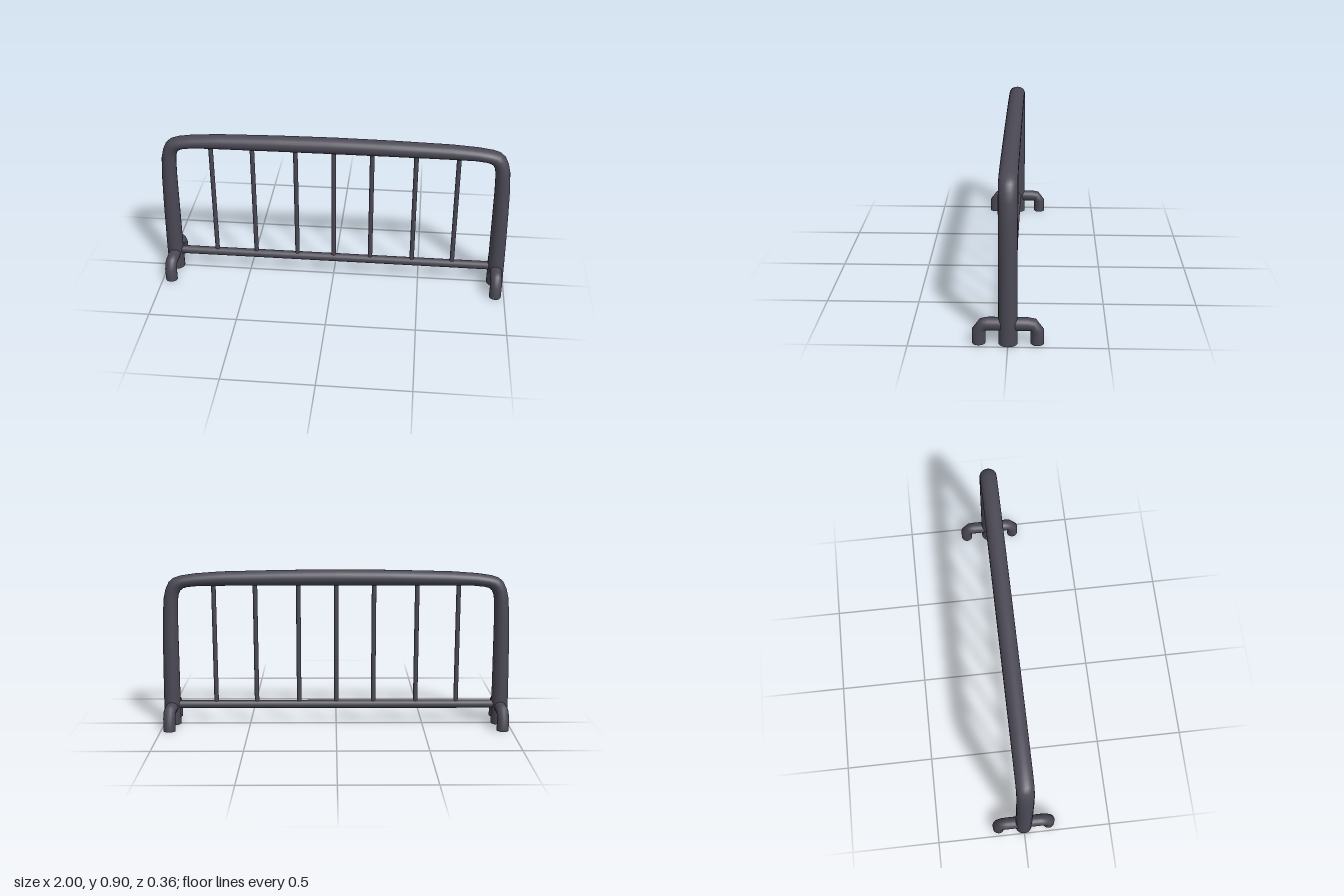
import * as THREE from 'three';

const SIDES = 24;

// Sweeps a round section along pairs [outerX, outerY, innerX, innerY]; r is the half depth in z.
function sweep(pairs, r) {
  const pos = [], index = [];
  const ring = ([ox, oy, ix, iy]) => {
    const start = pos.length / 3;
    const cx = (ox + ix) / 2, cy = (oy + iy) / 2;
    for (let j = 0; j < SIDES; j++) {
      const a = (j / SIDES) * Math.PI * 2;
      pos.push(cx + Math.cos(a) * (ox - cx), cy + Math.cos(a) * (oy - cy), Math.sin(a) * r);
    }
    return start;
  };
  const starts = pairs.map(ring);
  for (let i = 0; i < starts.length - 1; i++) {
    for (let j = 0; j < SIDES; j++) {
      const k = (j + 1) % SIDES;
      const a = starts[i] + j, b = starts[i + 1] + j;
      const c = starts[i] + k, d = starts[i + 1] + k;
      index.push(a, b, c, c, b, d);
    }
  }
  // flat end caps
  [pairs[0], pairs[pairs.length - 1]].forEach((p, end) => {
    const s = ring(p);
    for (let j = 1; j < SIDES - 1; j++) {
      if (end === 0) index.push(s, s + j, s + j + 1);
      else index.push(s, s + j + 1, s + j);
    }
  });
  const geo = new THREE.BufferGeometry();
  geo.setAttribute('position', new THREE.Float32BufferAttribute(pos, 3));
  geo.setIndex(index);
  geo.computeVertexNormals();
  return geo;
}

export function createModel() {
  const group = new THREE.Group();
  const steel = new THREE.MeshStandardMaterial({ color: 0x4a4955 });
  steel.name = 'dark steel';

  const add = (name, geometry, x = 0, y = 0, z = 0) => {
    const mesh = new THREE.Mesh(geometry, steel);
    mesh.name = name;
    mesh.position.set(x, y, z);
    group.add(mesh);
    return mesh;
  };

  // Arched main frame: one half, mirrored to the other side
  const half = [
    [1.0, 0, 0.904, 0],
    [0.998, 0.2, 0.904, 0.2],
    [0.993, 0.45, 0.903, 0.45],
    [0.987, 0.64, 0.902, 0.63],
    [0.978, 0.745, 0.899, 0.72],
    [0.966, 0.795, 0.894, 0.76],
    [0.947, 0.835, 0.883, 0.785],
    [0.92, 0.858, 0.865, 0.799],
    [0.88, 0.871, 0.84, 0.806],
    [0.8, 0.883, 0.78, 0.812],
    [0.65, 0.894, 0.64, 0.813],
    [0.32, 0.902, 0.32, 0.814],
  ];
  const mirrored = half.map(([a, b, c, d]) => [-a, b, -c, d]).reverse();
  add('mainFrame', sweep([...half, [0, 0.905, 0, 0.814], ...mirrored], 0.048));

  // Lower rail
  const rail = new THREE.CylinderGeometry(0.024, 0.024, 1.88, 20);
  rail.rotateZ(Math.PI / 2);
  add('lowerRail', rail, 0, 0.115, 0);

  // Upright bars
  const bar = new THREE.CylinderGeometry(0.013, 0.013, 0.73, 16);
  for (const x of [-0.695, -0.46, -0.215, 0, 0.215, 0.46, 0.695]) {
    add('uprightBar', bar, x, 0.48, 0);
  }

  // Bent feet, front and back of each post
  const foot = sweep([
    [0.18, 0, 0.113, 0],
    [0.18, 0.075, 0.113, 0.068],
    [0.141, 0.129, 0.112, 0.07],
    [0.1, 0.138, 0.11, 0.07],
    [0, 0.138, 0, 0.07],
  ], 0.034);
  for (const x of [-0.95, 0.95]) {
    for (const s of [-1, 1]) {
      add(s > 0 ? 'frontFoot' : 'backFoot', foot, x, 0, 0).rotation.y = -s * Math.PI / 2;
    }
  }

  return group;
}
